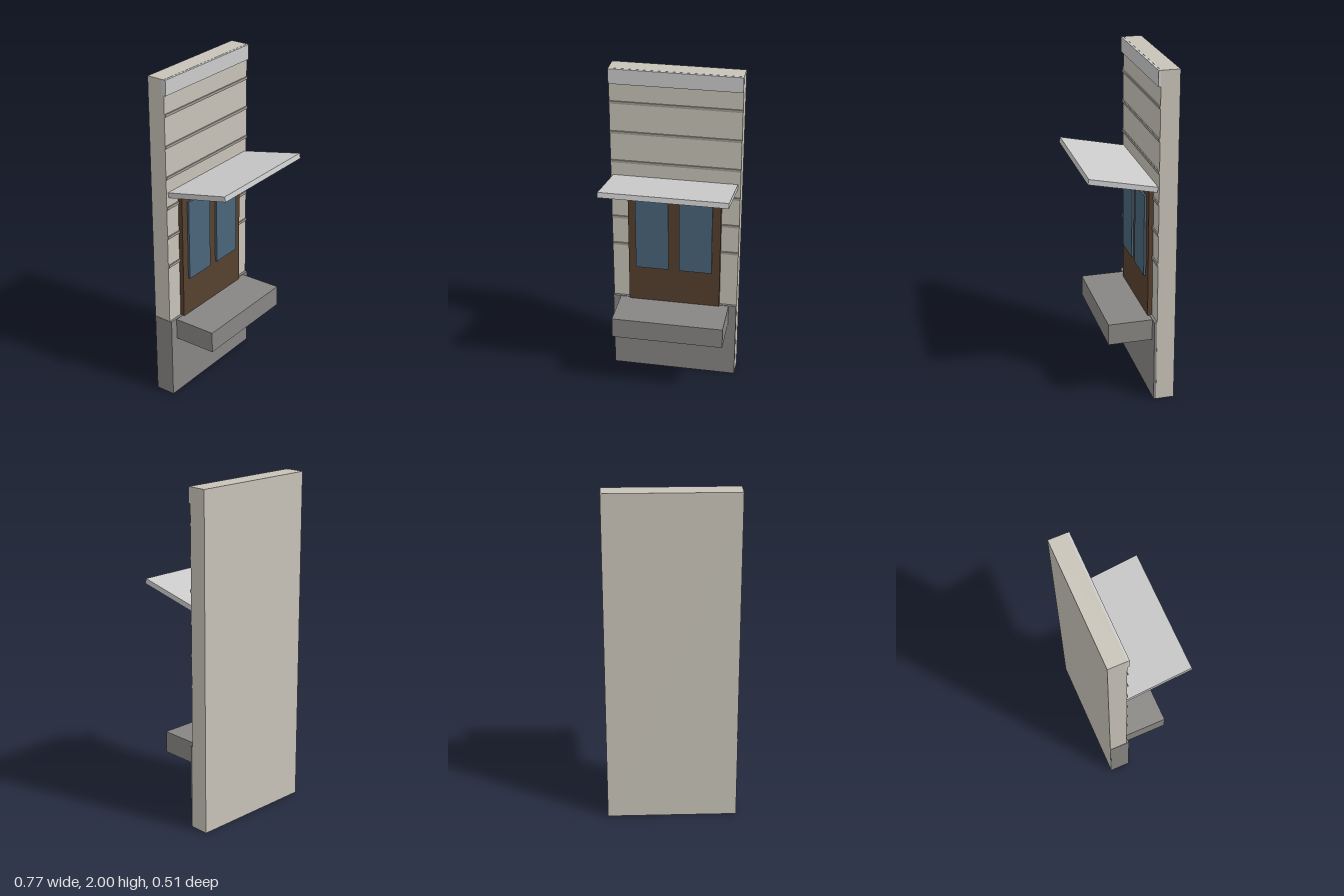
import * as THREE from 'three';

export function createModel() {
  const model = new THREE.Group();
  const paint = (color) => new THREE.MeshStandardMaterial({ color });
  const stone = paint(0xc8c3b8), ledge = paint(0xa09c94), trim = paint(0xcccccc);
  const concrete = paint(0x888683), wood = paint(0x56402f), glass = paint(0x4a647a);

  // Box given by its limits along each axis
  const box = (name, material, [x0, x1], [y0, y1], [z0, z1]) => {
    const mesh = new THREE.Mesh(new THREE.BoxGeometry(x1 - x0, y1 - y0, z1 - z0), material);
    mesh.position.set((x0 + x1) / 2, (y0 + y1) / 2, (z0 + z1) / 2);
    mesh.name = name;
    model.add(mesh);
    return mesh;
  };

  // Wall panel with its base and top band
  box('wall', stone, [-0.383, 0.383], [0, 2], [-0.253, -0.145]);
  box('plinth', concrete, [-0.385, 0.382], [0.001, 0.507], [-0.25, -0.13]);
  box('topBand', trim, [-0.383, 0.382], [1.91, 1.999], [-0.16, -0.132]);

  // Horizontal siding ledges
  for (let i = 0; i < 6; i++) {
    const y = 0.873 + i * 0.1845;
    box('sidingLedge', ledge, [-0.383, 0.382], [y - 0.008, y + 0.008], [-0.15, -0.138]);
  }

  // Double door with two glass panes
  box('door', wood, [-0.28, 0.277], [0.5, 1.293], [-0.15, -0.118]);
  box('leftPane', glass, [0.03, 0.228], [0.74, 1.234], [-0.13, -0.106]);
  box('rightPane', glass, [-0.234, -0.035], [0.74, 1.234], [-0.13, -0.106]);

  // Doorstep
  box('doorstep', concrete, [-0.338, 0.335], [0.375, 0.504], [-0.14, 0.132]);

  // Canopy tilted up toward the front
  const canopy = box('canopy', trim, [-0.37, 0.367], [1.347, 1.378], [-0.146, 0.254]);
  canopy.rotation.x = -0.21;

  return model;
}
